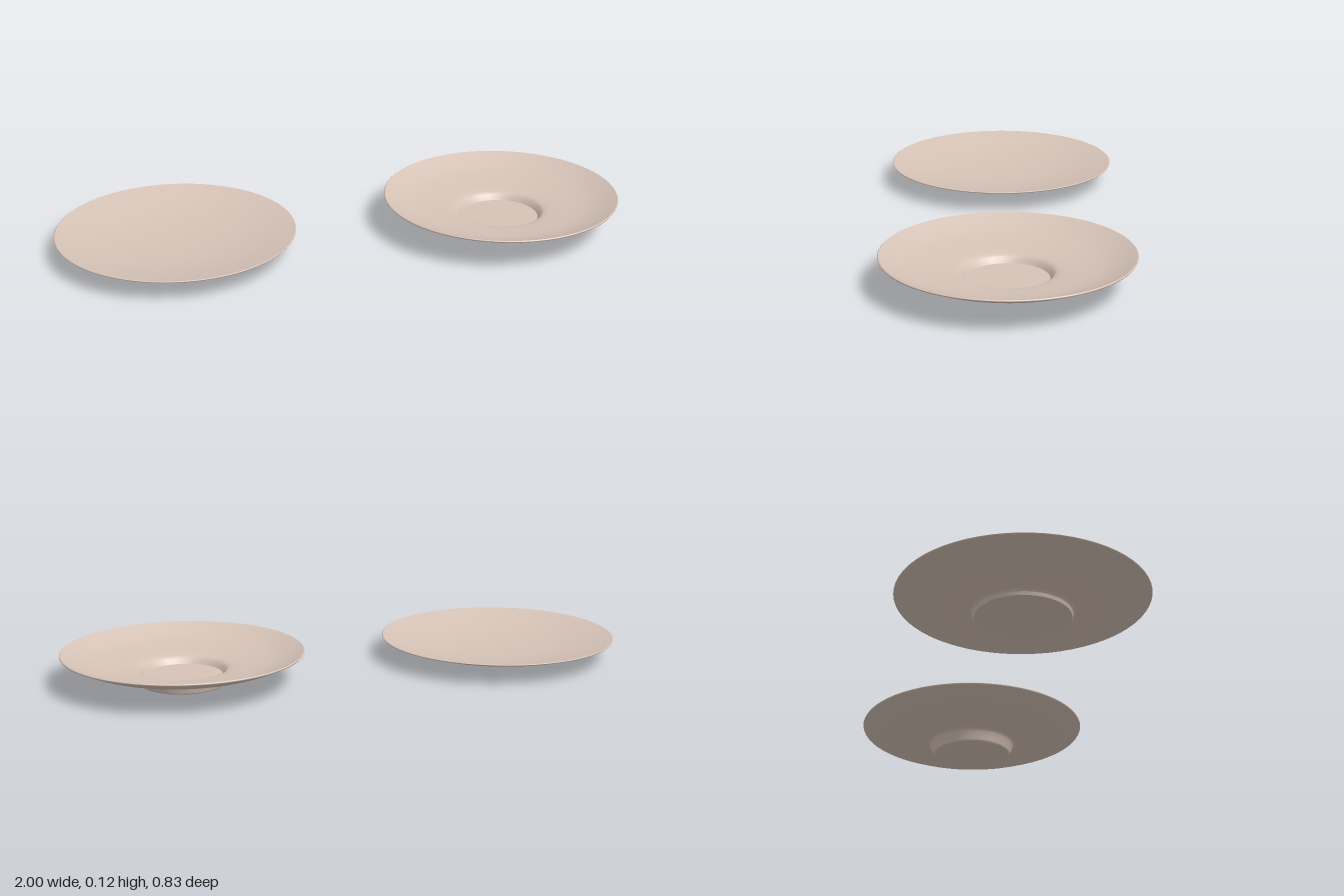
import * as THREE from 'three';

const SEGMENTS = 64;

// Smooth surface of revolution through a few (radius, height) points
function turned(name, points, material, curved = true) {
  let profile = points.map(([r, y]) => new THREE.Vector2(r, y));
  if (curved) {
    profile = new THREE.SplineCurve(profile).getPoints((points.length - 1) * 4);
    profile.forEach((p) => { p.x = Math.max(p.x, 0); });
  }
  const mesh = new THREE.Mesh(new THREE.LatheGeometry(profile, SEGMENTS), material);
  mesh.name = name;
  return mesh;
}

// Each profile runs from the underside outwards, over the rim and back to the middle
function dish(name, x, { base, foot, underside, rim, bowl, well }, material) {
  const group = new THREE.Group();
  group.name = name;
  group.position.x = x;
  group.add(
    turned('base', base, material, false),
    turned('foot', foot, material, false),
    turned('underside', underside, material),
    turned('rim', rim, material),
    turned('bowl', bowl, material),
  );
  if (well) group.add(turned('well', well, material, false));
  return group;
}

export function createModel() {
  const model = new THREE.Group();
  model.name = 'saucers';
  const ceramic = new THREE.MeshStandardMaterial({ color: 0xd6c3b7 });
  ceramic.name = 'warm beige ceramic';

  // Shallow plate with a low foot
  model.add(dish('shallowPlate', -0.583, {
    base: [[0, 0], [0.158, 0]],
    foot: [[0.158, 0], [0.162, 0.011]],
    underside: [[0.162, 0.011], [0.17, 0.018], [0.19, 0.023], [0.25, 0.033], [0.32, 0.046], [0.37, 0.058], [0.415, 0.072]],
    rim: [[0.415, 0.072], [0.417, 0.075], [0.414, 0.077]],
    bowl: [[0.414, 0.077], [0.36, 0.065], [0.29, 0.051], [0.2, 0.038], [0.1, 0.031], [0, 0.029]],
  }, ceramic));

  // Deeper saucer with a tall flared foot and a sunken cup well
  model.add(dish('cupSaucer', 0.583, {
    base: [[0, 0], [0.142, 0]],
    foot: [[0.142, 0], [0.145, 0.004]],
    underside: [[0.145, 0.004], [0.155, 0.03], [0.165, 0.044], [0.19, 0.051], [0.25, 0.059], [0.3, 0.066], [0.35, 0.08], [0.415, 0.108]],
    rim: [[0.415, 0.108], [0.417, 0.112], [0.414, 0.115]],
    bowl: [[0.414, 0.115], [0.37, 0.097], [0.32, 0.081], [0.26, 0.07], [0.19, 0.061], [0.16, 0.055], [0.147, 0.046], [0.136, 0.03]],
    well: [[0.136, 0.03], [0, 0.03]],
  }, ceramic));

  return model;
}
